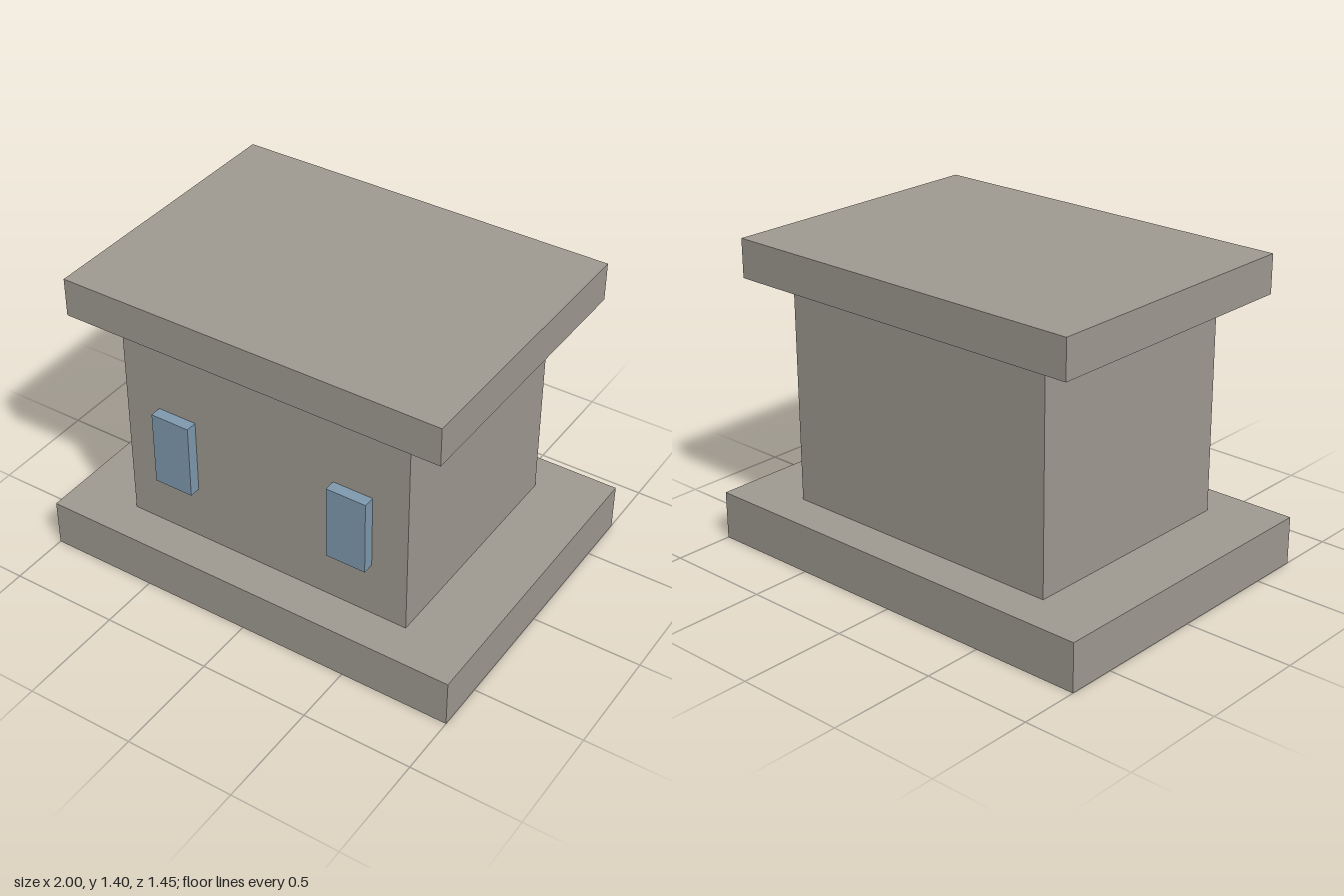
import * as THREE from 'three';

const stone = new THREE.MeshStandardMaterial({ color: 0x9f9a91 });
stone.name = 'stone';
const glass = new THREE.MeshStandardMaterial({ color: 0x7f99ae });
glass.name = 'blueGlass';

// Box given by its width, depth and bottom and top heights
function block(name, material, width, depth, bottom, top, x = 0, z = 0) {
  const mesh = new THREE.Mesh(new THREE.BoxGeometry(width, top - bottom, depth), material);
  mesh.name = name;
  mesh.position.set(x, (bottom + top) / 2, z);
  return mesh;
}

export function createModel() {
  const model = new THREE.Group();
  model.name = 'smallBuilding';

  // Plinth, walls and overhanging flat roof, with a hairline gap under the roof
  model.add(
    block('base', stone, 2, 1.45, 0, 0.22),
    block('walls', stone, 1.386, 1.09, 0.22, 1.218),
    block('roof', stone, 1.77, 1.306, 1.225, 1.4),
  );

  // Mirrored pair of windows standing proud of the front wall
  for (const [name, side] of [['leftWindow', 1], ['rightWindow', -1]]) {
    model.add(block(name, glass, 0.185, 0.052, 0.48, 0.83, side * 0.433, 0.571));
  }
  return model;
}
